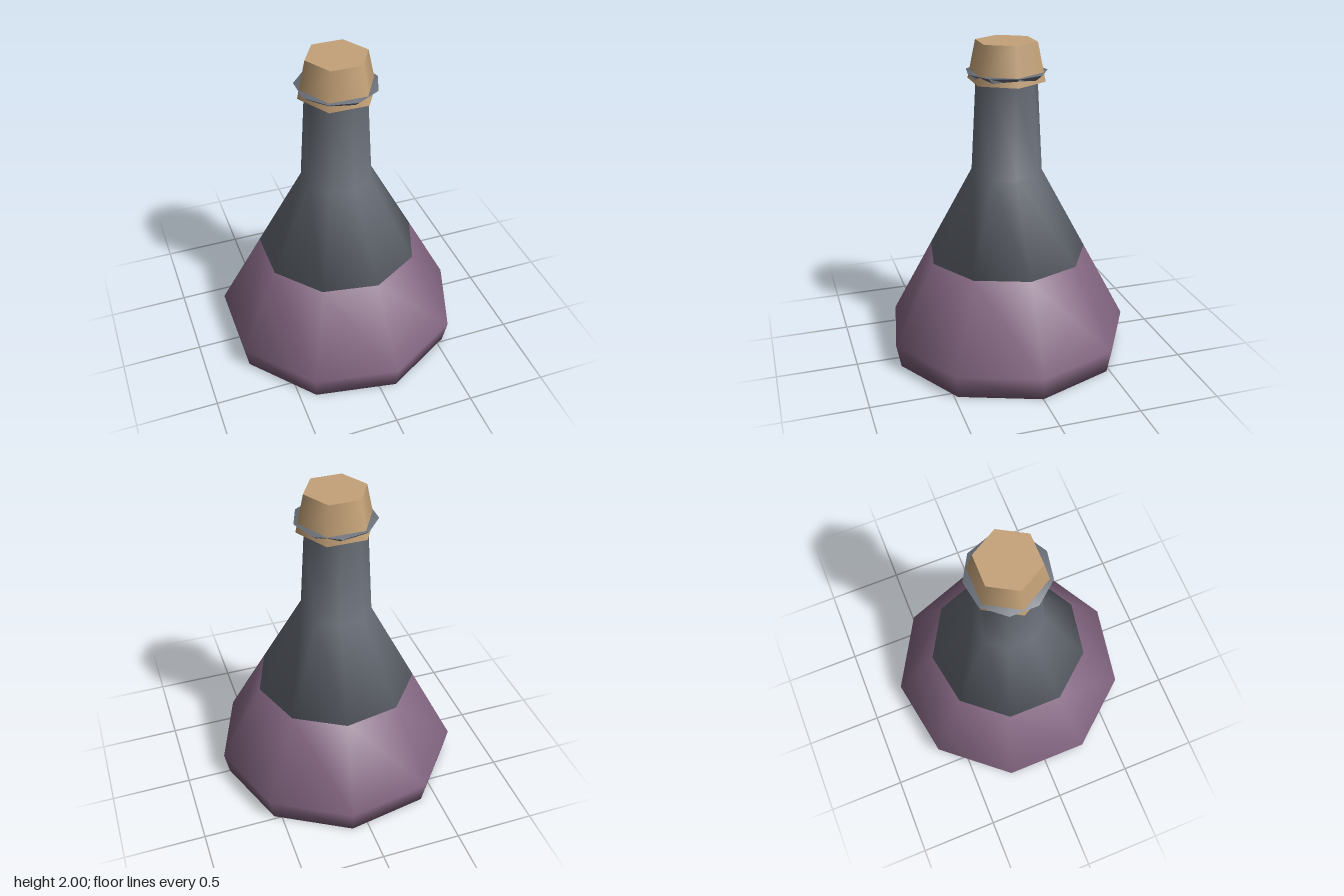
import * as THREE from 'three';
import { mergeVertices } from 'three/addons/utils/BufferGeometryUtils.js';

const SIDES = 9;

// Nine-sided turned solid with normals shared across every edge
function turned(profile) {
  const points = profile.map(([r, y]) => new THREE.Vector2(r, y));
  const lathe = new THREE.LatheGeometry(points, SIDES, Math.PI / 2);
  lathe.deleteAttribute('normal');
  lathe.deleteAttribute('uv');
  const geometry = mergeVertices(lathe, 1e-4);
  geometry.computeVertexNormals();
  return geometry;
}

function material(name, color) {
  const m = new THREE.MeshStandardMaterial({ color });
  m.name = name;
  return m;
}

export function createModel() {
  const model = new THREE.Group();
  model.name = 'corkedFlask';

  const add = (name, geometry, mat) => {
    const mesh = new THREE.Mesh(geometry, mat);
    mesh.name = name;
    mesh.position.x = -0.025; // odd side count: shift so the bounds are centred
    model.add(mesh);
    return mesh;
  };

  // Filled lower body, closed at both ends
  add('liquidBody', turned([
    [0, 0], [0.746, 0], [0.775, 0.15], [0.505, 0.66], [0, 0.66],
  ]), material('purple liquid', 0x80637e));

  // Shoulder, neck and flared lip, closed at both ends
  add('glassNeck', turned([
    [0, 0.66], [0.505, 0.66], [0.223, 1.19], [0.19, 1.77], [0.25, 1.82], [0, 1.82],
  ]), material('grey glass', 0x6a6f78));

  // Six-sided tapered stopper
  const cork = new THREE.CylinderGeometry(0.19, 0.24, 0.235, 6);
  cork.rotateY(Math.PI / 2);
  add('cork', cork, material('tan cork', 0xc4a278)).position.y = 1.8825;

  return model;
}
